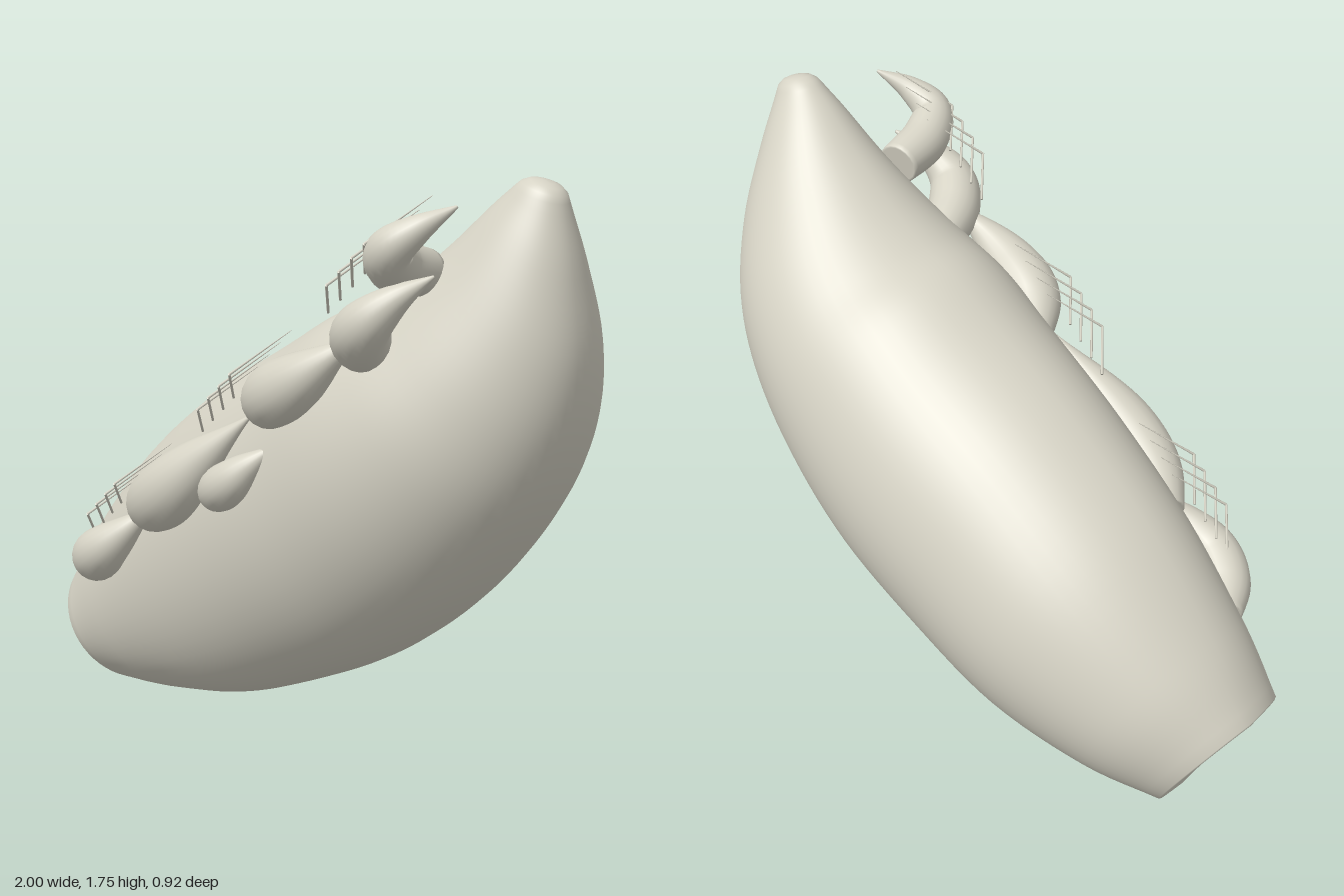
import * as THREE from 'three';

const V = (x, y, z = 0) => new THREE.Vector3(x, y, z);

// Smooth skin over a list of closed rings with equal point counts
function loft(rings, material, name) {
  const n = rings[0].length, pos = [], idx = [];
  rings.forEach(r => r.forEach(p => pos.push(p.x, p.y, p.z)));
  for (let i = 0; i < rings.length - 1; i++) {
    for (let j = 0; j < n; j++) {
      const a = i * n + j, b = i * n + (j + 1) % n;
      idx.push(a, b, a + n, b, b + n, a + n);
    }
  }
  const g = new THREE.BufferGeometry();
  g.setAttribute('position', new THREE.Float32BufferAttribute(pos, 3));
  g.setIndex(idx);
  g.computeVertexNormals();
  const mesh = new THREE.Mesh(g, material);
  mesh.name = name;
  return mesh;
}

// Body sections: upper x, y, lower x, y, front depth, back depth, z of the middle
const SECTIONS = [
  [-1, .38, -.77, 0, .255, .2, 0],
  [-.85, .585, -.55, .025, .288, .325, 0],
  [-.6, .85, -.25, .085, .327, .425, 0],
  [-.3, 1.07, .05, .2, .36, .457, 0],
  [0, 1.24, .35, .35, .387, .465, 0],
  [.18, 1.34, .62, .56, .393, .445, 0],
  [.32, 1.39, .83, .81, .355, .41, .005],
  [.45, 1.46, .95, 1.04, .285, .35, .01],
  [.6, 1.57, 1, 1.27, .2, .25, .015],
  [.73, 1.68, .985, 1.5, .12, .145, .022],
  [.8, 1.735, .95, 1.69, .062, .068, .025],
];

function makeBody(material) {
  const curve = f => new THREE.CatmullRomCurve3(SECTIONS.map(f), false, 'catmullrom', 0.5);
  const upper = curve(s => V(s[0], s[1], s[6]));
  const lower = curve(s => V(s[2], s[3], s[6]));
  const depth = curve(s => V(s[4], s[5]));
  const n = 56;
  const ring = (t, scale = 1, shift = V(0, 0)) => {
    const u = upper.getPoint(t), l = lower.getPoint(t), d = depth.getPoint(t);
    const c = u.clone().add(l).multiplyScalar(.5), h = u.sub(l).multiplyScalar(.5 * scale);
    // the butt end leans towards the front
    const lean = .03 * Math.max(0, 1 - t * 10) * scale;
    return Array.from({ length: n }, (_, j) => {
      const a = j / n * Math.PI * 2, s = Math.sin(a);
      const p = c.clone().addScaledVector(h, Math.cos(a)).add(shift);
      p.z += s * scale * (s > 0 ? d.x : d.y);
      p.x += lean * Math.max(s, 0) * .8;
      p.y += lean * Math.max(s, 0) * .5;
      return p;
    });
  };
  const rings = [];
  // flat butt end with a softened rim
  [[0, .008], [.5, .008], [.86, .004], [.92, -.002], [.97, -.003]].forEach(([s, k]) => rings.push(ring(0, s, V(k, k * .6))));
  for (let i = 0; i <= 60; i++) rings.push(ring(i / 60));
  // rounded tip
  [[.85, .016], [.6, .028], [.3, .033], [0, .034]].forEach(([s, k]) => rings.push(ring(1, s, V(k * .4, k))));
  return loft(rings, material, 'body');
}

// Curved horn along a path: swells past the base, then tapers to a point
function makeHorn(points, base, swell, material) {
  const path = new THREE.CatmullRomCurve3(points.map(p => V(...p)));
  const steps = 32, n = 20, f = path.computeFrenetFrames(steps);
  const radius = t => (base + swell * Math.sin(Math.PI * t)) * (1 - Math.pow(t, 2.4)) + .004;
  const ring = (i, r) => Array.from({ length: n }, (_, j) => {
    const a = j / n * Math.PI * 2;
    return path.getPointAt(i / steps)
      .addScaledVector(f.normals[i], Math.cos(a) * r)
      .addScaledVector(f.binormals[i], Math.sin(a) * r);
  });
  const rings = [ring(0, 0), ring(0, base * .95)];
  for (let i = 0; i <= steps; i++) rings.push(ring(i, radius(i / steps)));
  rings.push(ring(steps, 0));
  return loft(rings, material, 'horn');
}

// Thin bent rod made of two straight pieces
function makeBristle(points, material) {
  const g = new THREE.Group();
  g.name = 'bristle';
  for (let i = 0; i < points.length - 1; i++) {
    const a = points[i], d = points[i + 1].clone().sub(a);
    const rod = new THREE.Mesh(new THREE.CylinderGeometry(i ? .001 : .004, .004, d.length(), 6), material);
    rod.name = 'bristleRod';
    rod.position.copy(a).addScaledVector(d, .5);
    rod.quaternion.setFromUnitVectors(V(0, 1), d.normalize());
    g.add(rod);
  }
  return g;
}

export function createModel() {
  const model = new THREE.Group();
  model.name = 'hornedPod';
  const shell = new THREE.MeshStandardMaterial({ color: 0xd6d3c5 });
  shell.name = 'stone beige';

  model.add(makeBody(shell));

  // horns from the tip down to the butt end: path, base radius, swell
  const horns = [
    [[[.605, 1.5, .17], [.635, 1.53, .31], [.685, 1.58, .385], [.755, 1.635, .365], [.83, 1.695, .295]], .06, .014],
    [[[.46, 1.285, .2], [.53, 1.33, .33], [.6, 1.38, .385], [.68, 1.45, .365], [.76, 1.515, .3]], .062, .024],
    [[[.1, 1.08, .25], [.2, 1.13, .34], [.32, 1.19, .37], [.43, 1.265, .36], [.53, 1.345, .32]], .05, .05],
    [[[-.43, .69, .26], [-.32, .74, .33], [-.2, .81, .36], [-.07, .92, .35], [.09, 1.06, .32]], .06, .05],
    [[[-.05, .81, .33], [.01, .84, .37], [.08, .88, .39], [.14, .93, .38], [.22, 1, .345]], .042, .028],
    [[[-.7, .475, .23], [-.63, .505, .32], [-.54, .555, .365], [-.46, .62, .35], [-.365, .715, .3]], .054, .032],
  ];
  horns.forEach(([path, base, swell]) => model.add(makeHorn(path, base, swell, shell)));

  // three clusters of four bent bristles above the horns
  [[-.62, .59], [-.1, .99], [.415, 1.39]].forEach(([x, y]) => {
    const cluster = new THREE.Group();
    cluster.name = 'bristleCluster';
    for (let i = 0; i < 4; i++) {
      const dx = i * .045, dy = i * .039;
      cluster.add(makeBristle([
        V(x + dx, y + dy, .335),
        V(x + .09 + dx, y + .09 + dy, .43),
        V(x + .2 + dx, y + .21 + dy, .3),
      ], shell));
    }
    model.add(cluster);
  });

  return model;
}
